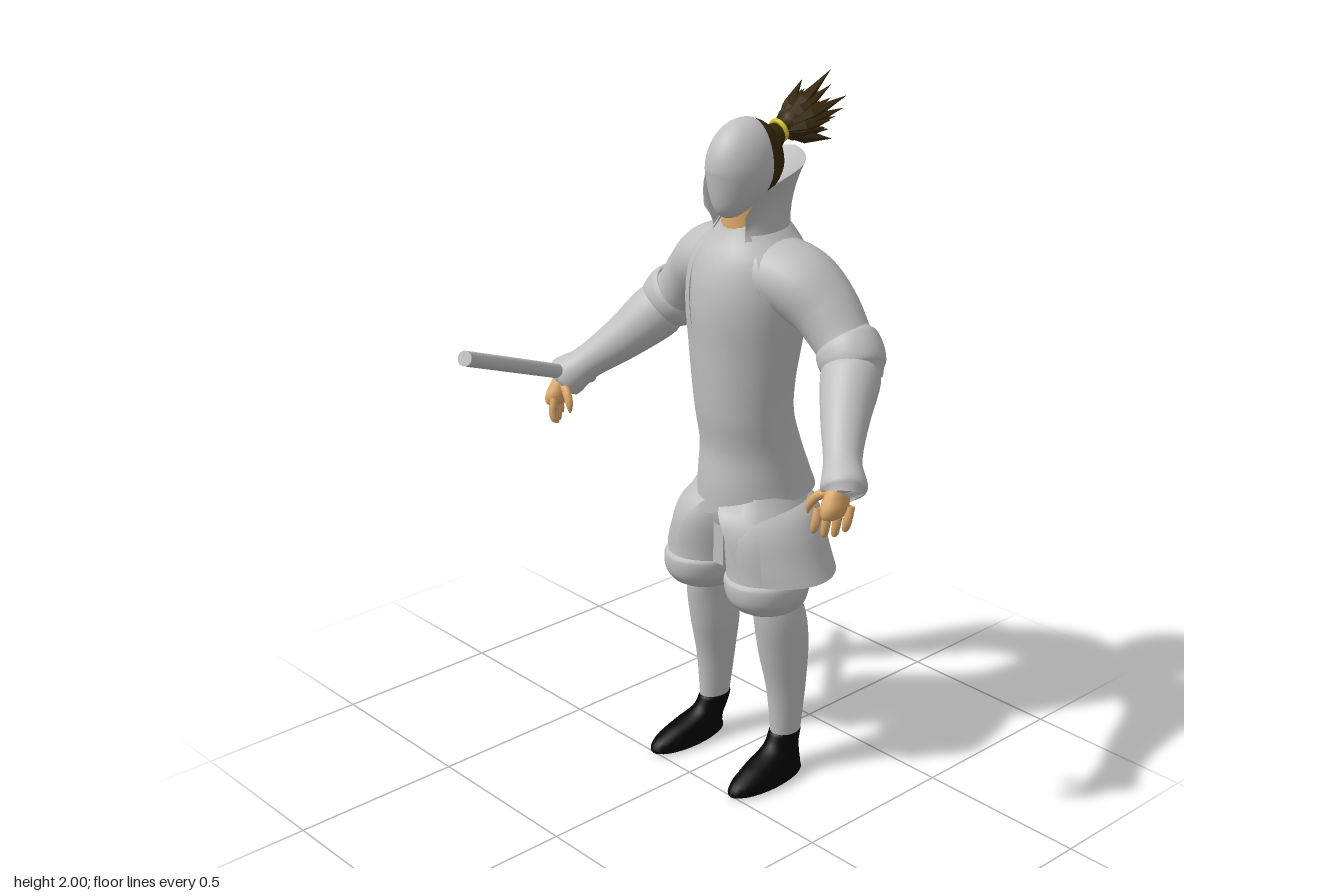
import * as THREE from 'three';
import { ParametricGeometry } from 'three/addons/geometries/ParametricGeometry.js';

const mat = (name, color) => {
  const m = new THREE.MeshStandardMaterial({ color, side: THREE.DoubleSide });
  m.name = name;
  return m;
};
const V = (x, y, z) => new THREE.Vector3(x, y, z);

// Smooth skin through sections [x, y, z, rx, rz]; rings lie flat, or square to the path if "along"
function skin(sections, along = false) {
  const path = new THREE.CatmullRomCurve3(sections.map(s => V(s[0], s[1], s[2])), false, 'catmullrom', 0.5);
  const size = new THREE.CatmullRomCurve3(sections.map(s => V(s[3], s[4] ?? s[3], 0)), false, 'catmullrom', 0.5);
  return (angle, v, out, grow = 1) => {
    const c = path.getPoint(v), r = size.getPoint(v);
    let a = V(1, 0, 0), b = V(0, 0, 1);
    if (along) {
      const t = path.getTangent(v);
      a = V(0.3, 0.1, 1).cross(t).normalize();
      b = a.clone().cross(t);
    }
    return out.copy(c).addScaledVector(a, Math.sin(angle) * r.x * grow).addScaledVector(b, Math.cos(angle) * r.y * grow);
  };
}
const loft = (sections, along, nu = 28, nv = 24) => {
  const f = skin(sections, along);
  return new ParametricGeometry((u, v, p) => f(u * Math.PI * 2, v, p), nu, nv);
};

export function createModel() {
  const cloth = mat('grey cloth', 0xc0c0c0);
  const flesh = mat('skin', 0xdca768);
  const hair = mat('dark brown hair', 0x38280c);
  const band = mat('yellow band', 0xd6c62a);
  const boot = mat('black boot', 0x030303);

  const model = new THREE.Group();
  const body = new THREE.Group();
  body.name = 'figure';
  body.position.x = 0.022;
  model.add(body);
  const add = (name, geo, m, parent = body) => {
    const mesh = new THREE.Mesh(geo, m);
    mesh.name = name;
    parent.add(mesh);
    return mesh;
  };

  // Coat shape with an uneven hem, lower on the right front
  const torso = skin([
    [0, 0.86, -0.235, 0.16, 0.174], [0, 0.91, -0.225, 0.152, 0.163], [0, 1.0, -0.21, 0.143, 0.14],
    [0, 1.1, -0.185, 0.144, 0.13], [0, 1.2, -0.18, 0.152, 0.135], [0, 1.3, -0.185, 0.163, 0.148],
    [0, 1.4, -0.19, 0.174, 0.16], [0, 1.48, -0.195, 0.176, 0.158], [0, 1.55, -0.205, 0.162, 0.145],
    [0, 1.61, -0.212, 0.112, 0.112], [0, 1.65, -0.205, 0.078, 0.085]]);
  const coat = (angle, v, p, grow) => {
    torso(angle, v, p, grow);
    p.y -= Math.max(0, 1 - v / 0.15) * 0.06 * Math.max(0, Math.cos(angle + 0.8));
    return p;
  };
  const rightEdge = v => 0.05 - 0.75 * v;
  const leftEdge = v => 0.65 + 0.35 * Math.sin(Math.PI * v);

  // Open coat over a recessed shirt, with a diagonal sash and its tail at the waist
  add('coat', new ParametricGeometry((u, v, p) => {
    const a = leftEdge(v), b = rightEdge(v) + Math.PI * 2;
    coat(a + (b - a) * u, v, p);
  }, 48, 60), cloth);
  add('shirt', new ParametricGeometry((u, v, p) => coat(-1.2 + 2.6 * u, v, p, 0.92), 24, 50), cloth);
  add('chestSash', new ParametricGeometry((u, v, p) => {
    coat(0.85 - 1.35 * v + 0.36 * u, 0.3 + 0.64 * v, p, 0.985);
  }, 10, 40), cloth);
  add('sashTail', new ParametricGeometry((u, v, p) => {
    coat(0.05 + 0.75 * u, 0.03 + 0.19 * v, p, 1.015);
  }, 10, 10), cloth);

  // Flaring collar, open at the front and highest at the back
  add('collar', new ParametricGeometry((u, v, p) => {
    const t = (u * 2 - 1) * 2.5, k = Math.abs(t) / 2.5;
    const top = 1.81 - 0.045 * k - 0.09 * Math.pow(k, 6);
    const w = 0.104 - 0.026 * v + 0.055 * v * v, d = 0.108 - 0.03 * v + (0.082 - 0.035 * k) * v * v;
    p.set(Math.sin(t) * w, 1.59 + (top - 1.59) * v, -0.205 - Math.cos(t) * d);
  }, 48, 14), cloth);

  // Flared skirt with a gap that widens downwards at the front
  const skirt = skin([[0, 0.65, -0.217, 0.282, 0.193], [0, 0.7, -0.212, 0.26, 0.193],
    [0, 0.78, -0.21, 0.226, 0.189], [0, 0.83, -0.215, 0.19, 0.175], [0, 0.862, -0.22, 0.135, 0.14]]);
  add('skirt', new ParametricGeometry((u, v, p) => {
    const gap = 0.62 - 0.5 * v;
    skirt(gap + u * (Math.PI * 2 - 2 * gap), v, p);
  }, 48, 16), cloth);
  add('hips', loft([[0, 0.7, -0.21, 0.01, 0.02], [0, 0.74, -0.21, 0.07, 0.1], [0, 0.83, -0.215, 0.13, 0.14],
    [0, 0.95, -0.215, 0.12, 0.12]]), cloth);
  const flap = add('frontFlap', new THREE.BoxGeometry(0.04, 0.21, 0.012), cloth);
  flap.position.set(0, 0.76, -0.095);

  for (const s of [1, -1]) {
    const side = new THREE.Group();
    side.name = s > 0 ? 'leftLimbs' : 'rightLimbs';
    body.add(side);
    const m = list => list.map(([x, ...rest]) => [x * s, ...rest]);

    // Puffed breeches, knee pad, shin and boot
    add('breeches', loft(m([[0.128, 0.532, -0.18, 0.03, 0.04], [0.128, 0.55, -0.175, 0.08, 0.098],
      [0.125, 0.6, -0.168, 0.106, 0.122], [0.118, 0.67, -0.178, 0.11, 0.135],
      [0.1, 0.78, -0.197, 0.102, 0.15], [0.08, 0.88, -0.21, 0.07, 0.11]])), cloth, side);
    const pad = skin(m([[0.128, 0.56, -0.165, 0.085, 0.105], [0.127, 0.59, -0.163, 0.105, 0.126],
      [0.124, 0.63, -0.163, 0.112, 0.133], [0.122, 0.65, -0.165, 0.105, 0.128], [0.12, 0.653, -0.17, 0.08, 0.1]]));
    add('kneePad', new ParametricGeometry((u, v, p) => pad((u - 0.5) * 3.4, v, p), 24, 12), cloth, side);
    add('shin', loft(m([[0.15, 0.12, -0.22, 0.036, 0.048], [0.147, 0.27, -0.222, 0.049, 0.063],
      [0.142, 0.4, -0.213, 0.062, 0.081], [0.14, 0.5, -0.2, 0.064, 0.084], [0.13, 0.58, -0.185, 0.06, 0.075]])), cloth, side);
    add('boot', loft(m([[0.165, 0.002, -0.125, 0.004, 0.01], [0.165, 0.003, -0.125, 0.047, 0.128],
      [0.166, 0.03, -0.125, 0.054, 0.133], [0.161, 0.06, -0.152, 0.048, 0.106],
      [0.152, 0.095, -0.2, 0.04, 0.062], [0.148, 0.136, -0.22, 0.039, 0.052],
      [0.148, 0.137, -0.22, 0.03, 0.04]])), boot, side);

    // Upper sleeve blending into the shoulder, rolled elbow cuff and flared forearm sleeve
    add('upperSleeve', loft(m([[0.02, 1.505, -0.215, 0.104, 0.12], [0.1, 1.503, -0.22, 0.102, 0.122],
      [0.175, 1.482, -0.232, 0.1, 0.117], [0.245, 1.43, -0.243, 0.09, 0.1], [0.303, 1.37, -0.243, 0.08, 0.086],
      [0.355, 1.315, -0.235, 0.073, 0.078]]), true), cloth, side);
    add('elbowCuff', loft(m([[0.317, 1.362, -0.242, 0.065], [0.318, 1.361, -0.242, 0.083], [0.332, 1.346, -0.24, 0.09],
      [0.354, 1.321, -0.234, 0.09], [0.37, 1.3, -0.227, 0.081], [0.371, 1.298, -0.226, 0.06]]), true), cloth, side);
    add('forearmSleeve', loft(m([[0.355, 1.315, -0.228, 0.06], [0.378, 1.287, -0.203, 0.08], [0.435, 1.21, -0.125, 0.065],
      [0.505, 1.135, -0.045, 0.05], [0.555, 1.085, 0.0, 0.06], [0.558, 1.08, 0.003, 0.02]]), true), cloth, side);

    // Hand with four fingers and a thumb
    const hand = new THREE.Group();
    hand.name = 'hand';
    side.add(hand);
    add('palm', loft(m([[0.548, 1.11, 0.005, 0.022, 0.026], [0.548, 1.075, 0.018, 0.027, 0.038],
      [0.55, 1.045, 0.028, 0.029, 0.045], [0.551, 1.02, 0.032, 0.02, 0.038],
      [0.551, 1.012, 0.032, 0.003, 0.006]]), false, 16, 12), flesh, hand);
    for (let i = 0; i < 4; i++) {
      const x = 0.527 + 0.016 * i, z = 0.068 - 0.022 * i, tip = 0.963 + (i === 0 || i === 3 ? 0.012 : 0);
      add('finger', loft(m([[x, 1.045, z - 0.006, 0.012], [x, 1.01, z + 0.003, 0.012],
        [x - 0.006, tip + 0.01, z + 0.004, 0.01], [x - 0.012, tip, z + 0.002, 0.003]]), true, 10, 10), flesh, hand);
    }
    add('thumb', loft(m([[0.538, 1.08, 0.02, 0.016], [0.503, 1.065, 0.038, 0.013],
      [0.481, 1.035, 0.046, 0.011], [0.475, 1.01, 0.049, 0.003]]), true, 10, 10), flesh, hand);
  }

  // Head: skin core, blank mask over the face, hair over the back
  const headPart = (name, m, grow, theta, tilt) => {
    const g = new THREE.SphereGeometry(1, 36, 24, 0, Math.PI * 2, 0, theta).rotateX(tilt);
    const p = g.attributes.position;
    for (let i = 0; i < p.count; i++) {
      const y = p.getY(i), low = Math.max(0, -y);
      p.setXYZ(i, p.getX(i) * 0.088 * grow * (1 - 0.12 * low), y * 0.13 * grow,
        p.getZ(i) * 0.12 * grow * (1 - 0.15 * low) + 0.055 * low * low);
    }
    g.computeVertexNormals();
    add(name, g, m).position.set(0, 1.785, -0.178);
  };
  headPart('head', flesh, 0.95, Math.PI, 0);
  headPart('mask', cloth, 1.0, 1.76, Math.PI / 2);
  headPart('hairCap', hair, 0.985, 1.6, -Math.PI / 2 + 0.35);
  const neck = add('neck', new THREE.CylinderGeometry(0.062, 0.072, 0.14, 20), flesh);
  neck.position.set(0, 1.645, -0.185);

  // Ponytail: gathered root, yellow tie and a fan of pointed locks
  const tail = new THREE.Group();
  tail.name = 'ponytail';
  body.add(tail);
  add('ponytailRoot', loft([[0, 1.835, -0.25, 0.05], [0, 1.85, -0.285, 0.034], [0, 1.862, -0.312, 0.025],
    [0, 1.875, -0.36, 0.04], [0, 1.89, -0.41, 0.006]], true, 14, 10), hair, tail);
  const tie = add('hairTie', new THREE.TorusGeometry(0.027, 0.007, 10, 24), band, tail);
  tie.position.set(0, 1.86, -0.302);
  tie.rotation.x = 0.3;
  let seed = 11;
  const rnd = () => (seed = (seed * 16807) % 2147483647) / 2147483647;
  const count = 36;
  for (let i = 0; i < count; i++) {
    const a = i * 2.4, r = Math.sqrt((i + 0.5) / count);
    const dir = V(Math.cos(a) * r * 0.58, 0.24 + Math.sin(a) * r * 0.55, -1).normalize();
    const len = 0.115 + 0.1 * rnd() + 0.012 * dir.y;
    // Each lock is a flat-faced spindle, widest near the middle
    const g = new THREE.LatheGeometry([[0.006, 0], [0.019, len * 0.45], [0.0005, len]].map(q => new THREE.Vector2(...q)), 5).toNonIndexed();
    g.computeVertexNormals();
    const lock = add('hairLock', g, hair, tail);
    lock.position.set(dir.x * 0.03, 1.862 + (dir.y - 0.24) * 0.03, -0.308);
    lock.quaternion.setFromUnitVectors(V(0, 1, 0), dir);
  }

  // Staff held in the right hand
  const a = V(-0.6, 1.035, -0.15), b = V(-0.32, 1.322, 0.507);
  const staff = add('staff', new THREE.CylinderGeometry(0.021, 0.021, a.distanceTo(b), 20), cloth, model);
  staff.position.copy(a).add(b).multiplyScalar(0.5);
  staff.quaternion.setFromUnitVectors(V(0, 1, 0), b.clone().sub(a).normalize());

  return model;
}
